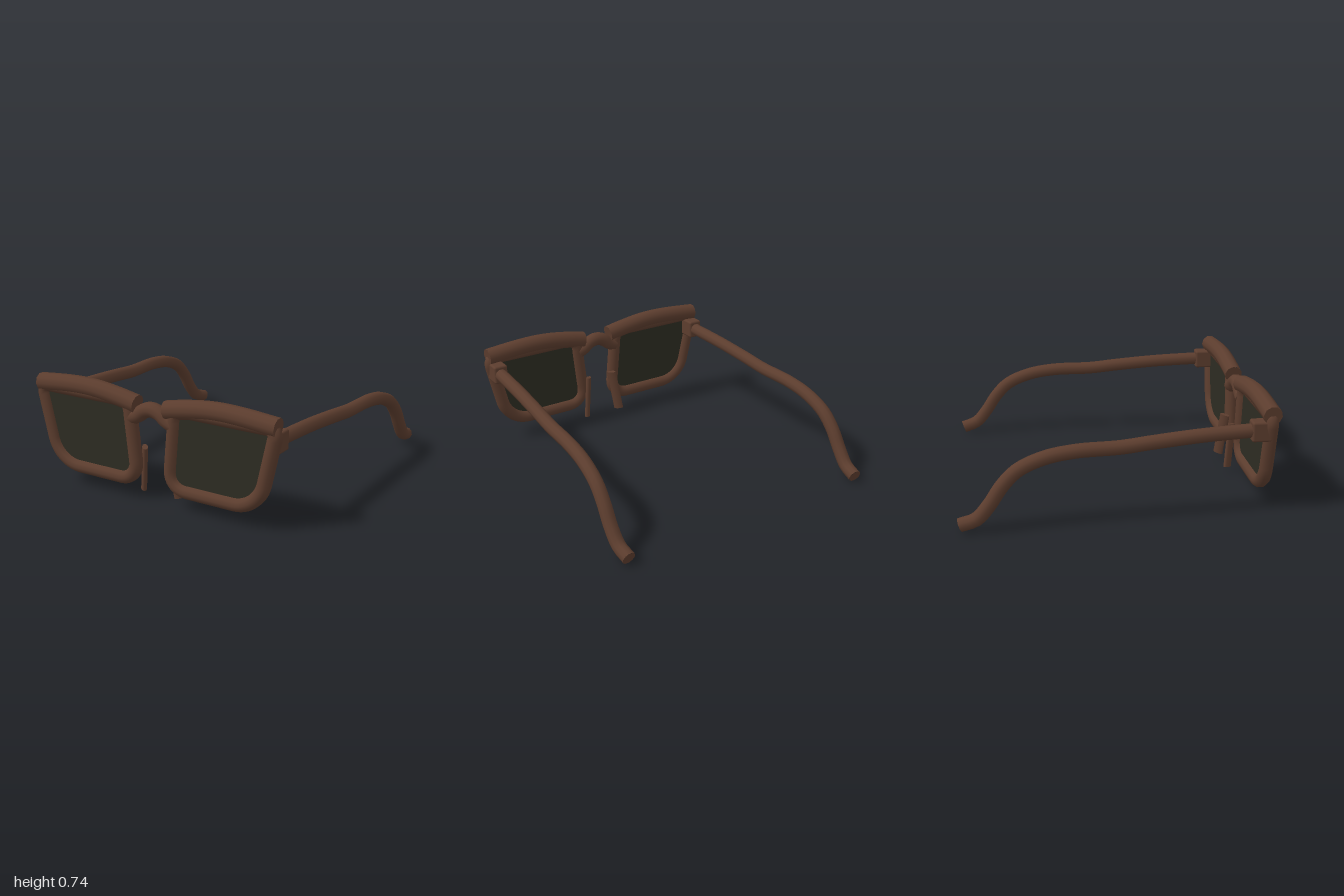
import * as THREE from 'three';
import { RoundedBoxGeometry } from 'three/addons/geometries/RoundedBoxGeometry.js';
import { mergeGeometries } from 'three/addons/utils/BufferGeometryUtils.js';

const V = (x, y, z) => new THREE.Vector3(x, y, z);
const FRONT_Z = 0.94;

// Smooth tube through points, closed off with flat end caps
function cappedTube(points, radius, segments, sides) {
  const curve = new THREE.CatmullRomCurve3(points);
  const parts = [new THREE.TubeGeometry(curve, segments, radius, sides)];
  for (const end of [0, 1]) {
    const cap = new THREE.CircleGeometry(radius, sides);
    const out = curve.getTangentAt(end).multiplyScalar(end ? 1 : -1);
    cap.applyQuaternion(new THREE.Quaternion().setFromUnitVectors(V(0, 0, 1), out));
    const p = curve.getPointAt(end);
    parts.push(cap.translate(p.x, p.y, p.z));
  }
  return mergeGeometries(parts);
}

// Rounded four-cornered outline; each corner is [x, y, radius]
function lensOutline(s) {
  const corners = [[0.173, 0.655, 0.06], [0.12, 0.137, 0.13], [0.755, 0.137, 0.17], [0.872, 0.655, 0.06]];
  const shape = new THREE.Shape();
  corners.forEach(([x, y, r], i) => {
    const c = new THREE.Vector2(x, y);
    const toward = (j) => {
      const n = corners[(j + 4) % 4];
      return new THREE.Vector2(n[0], n[1]).sub(c).setLength(r).add(c);
    };
    const a = toward(i - 1), b = toward(i + 1);
    if (i === 0) shape.moveTo(s * a.x, a.y);
    else shape.lineTo(s * a.x, a.y);
    const k = 0.58;
    const h1 = a.clone().lerp(c, k), h2 = b.clone().lerp(c, k);
    shape.bezierCurveTo(s * h1.x, h1.y, s * h2.x, h2.y, s * b.x, b.y);
  });
  shape.closePath();
  return shape;
}

export function createModel() {
  const group = new THREE.Group();
  const frame = new THREE.MeshStandardMaterial({ color: 0x5c3d2e });
  frame.name = 'brown frame';
  const tint = new THREE.MeshStandardMaterial({ color: 0x2d2c22 });
  tint.name = 'dark lens';

  const add = (name, geometry, material = frame) => {
    const mesh = new THREE.Mesh(geometry, material);
    mesh.name = name;
    group.add(mesh);
    return mesh;
  };

  for (const s of [1, -1]) {
    const side = s > 0 ? 'left' : 'right';
    const outline = lensOutline(s);

    // Rim and lens share one outline
    const rimPoints = outline.getSpacedPoints(72).slice(0, -1).map((p) => V(p.x, p.y, FRONT_Z));
    const rimCurve = new THREE.CatmullRomCurve3(rimPoints, true);
    add(side + 'Rim', new THREE.TubeGeometry(rimCurve, 96, 0.045, 10, true));
    const lens = new THREE.ExtrudeGeometry(outline, { depth: 0.02, bevelEnabled: false, curveSegments: 10 });
    add(side + 'Lens', lens.translate(0, 0, FRONT_Z - 0.01), tint);

    // Heavy arched brow bar
    const brow = [[0.11, 0.641], [0.25, 0.667], [0.4, 0.687], [0.52, 0.692], [0.66, 0.687], [0.88, 0.668]];
    add(side + 'BrowBar', cappedTube(brow.map(([x, y]) => V(s * x, y, FRONT_Z)), 0.06, 24, 10));

    // Hinge block
    const hinge = add(side + 'Hinge', new RoundedBoxGeometry(0.1, 0.13, 0.13, 2, 0.015));
    hinge.position.set(s * 0.836, 0.565, 0.88);

    // Temple arm with drooping ear hook
    const arm = [
      [0.836, 0.566, 0.85], [0.851, 0.55, 0.5], [0.865, 0.525, 0.2], [0.874, 0.505, 0],
      [0.887, 0.497, -0.28], [0.895, 0.465, -0.47], [0.903, 0.395, -0.63], [0.908, 0.3, -0.725],
      [0.91, 0.18, -0.805], [0.906, 0.09, -0.885], [0.897, 0.054, -0.985],
    ];
    add(side + 'Temple', cappedTube(arm.map(([x, y, z]) => V(s * x, y, z)), 0.045, 56, 10));

    // Slim oval nose pad, splayed down and back
    const pad = new THREE.CylinderGeometry(1, 1, 0.305, 8);
    pad.scale(0.019, 1, 0.037).rotateY(-s * 0.72);
    const padMesh = add(side + 'NosePad', pad);
    const down = V(s * 0.04, -0.3, -0.03).normalize();
    padMesh.quaternion.setFromUnitVectors(V(0, -1, 0), down);
    padMesh.position.set(s * 0.12, 0.197, 0.872);
  }

  // Arched bridge
  const bridge = [[-0.16, 0.548], [-0.11, 0.569], [-0.055, 0.608], [0, 0.622], [0.055, 0.608], [0.11, 0.569], [0.16, 0.548]];
  add('bridge', cappedTube(bridge.map(([x, y]) => V(x, y, 0.937)), 0.049, 24, 10));

  return group;
}
